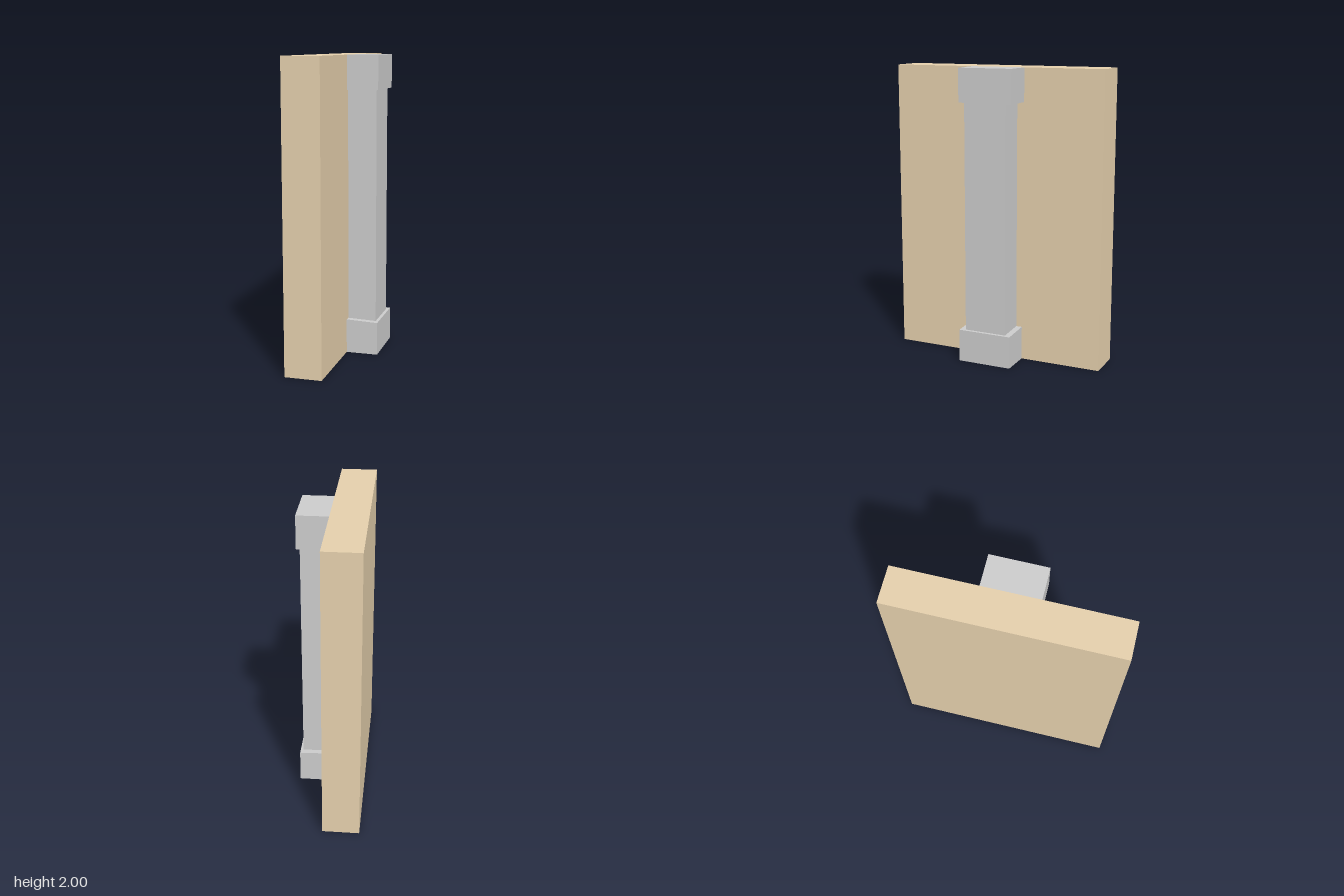
import * as THREE from 'three';

const WALL_FACE = 0.016; // x of the wall side that carries the pilaster

const stone = new THREE.MeshStandardMaterial({ color: 0xcccccc, flatShading: true });
const plaster = new THREE.MeshStandardMaterial({ color: 0xe4cfac, flatShading: true });

// Box given by its limits on each axis
function block(name, material, [x0, x1], [y0, y1], [z0, z1]) {
  const geometry = new THREE.BoxGeometry(x1 - x0, y1 - y0, z1 - z0);
  geometry.translate((x0 + x1) / 2, (y0 + y1) / 2, (z0 + z1) / 2);
  const mesh = new THREE.Mesh(geometry, material);
  mesh.name = name;
  return mesh;
}

export function createModel() {
  const model = new THREE.Group();
  model.name = 'wallWithPilaster';

  // Thick wall slab
  model.add(block('wall', plaster, [-0.23, WALL_FACE], [0, 2], [-0.75, 0.75]));

  // Pilaster: shaft between a wider base and capital
  const pilaster = new THREE.Group();
  pilaster.name = 'pilaster';
  const base = block('base', stone, [WALL_FACE, 0.228], [0, 0.23], [-0.19, 0.185]);
  pilaster.add(
    base,
    block('shaft', stone, [WALL_FACE, 0.208], [0.2, 1.79], [-0.149, 0.145]),
    block('capital', stone, [WALL_FACE, 0.226], [1.775, 2], [-0.198, 0.178]),
  );

  // The base top falls slightly towards its outer edge
  const p = base.geometry.attributes.position;
  for (let i = 0; i < p.count; i++) {
    if (p.getY(i) > 0.2 && p.getX(i) > 0.2) p.setY(i, 0.222);
  }
  base.geometry.computeVertexNormals();

  model.add(pilaster);
  return model;
}
